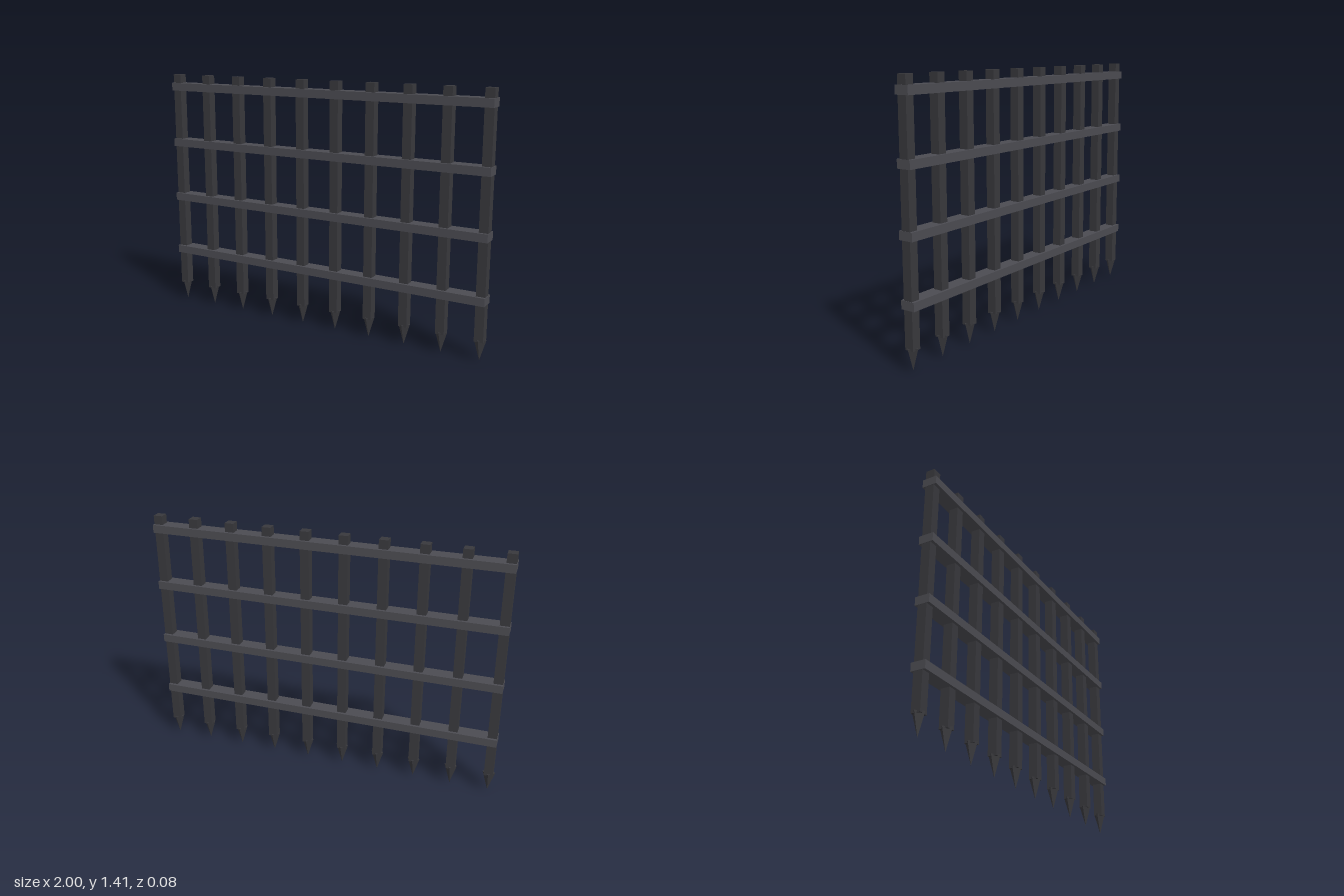
import * as THREE from 'three';

export function createModel() {
  const model = new THREE.Group();
  model.name = 'portcullis';

  const barMat = new THREE.MeshStandardMaterial({ color: 0x38383c, flatShading: true });
  const railMat = new THREE.MeshStandardMaterial({ color: 0x4b4b51, flatShading: true });

  const add = (name, geometry, material, x, y) => {
    const mesh = new THREE.Mesh(geometry, material);
    mesh.name = name;
    mesh.position.set(x, y, 0);
    model.add(mesh);
    return mesh;
  };

  // Upright square bars, each ending in a four-sided spike set corner-forward
  const count = 10, endX = 0.965;
  const top = 1.407, barBottom = 0.107, spikeHeight = 0.117;
  const barGeo = new THREE.BoxGeometry(0.05, top - barBottom, 0.05);
  const spikeGeo = new THREE.ConeGeometry(0.035, spikeHeight, 4);
  spikeGeo.rotateX(Math.PI);
  for (let i = 0; i < count; i++) {
    const x = -endX + (2 * endX * i) / (count - 1);
    add(`bar${i + 1}`, barGeo, barMat, x, (top + barBottom) / 2);
    add(`spike${i + 1}`, spikeGeo, barMat, x, spikeHeight / 2);
  }

  // Horizontal rails wrapping the bars
  const railGeo = new THREE.BoxGeometry(1.985, 0.045, 0.08);
  for (let i = 0; i < 4; i++) add(`rail${i + 1}`, railGeo, railMat, 0, 0.33 + i * 0.335);

  return model;
}
